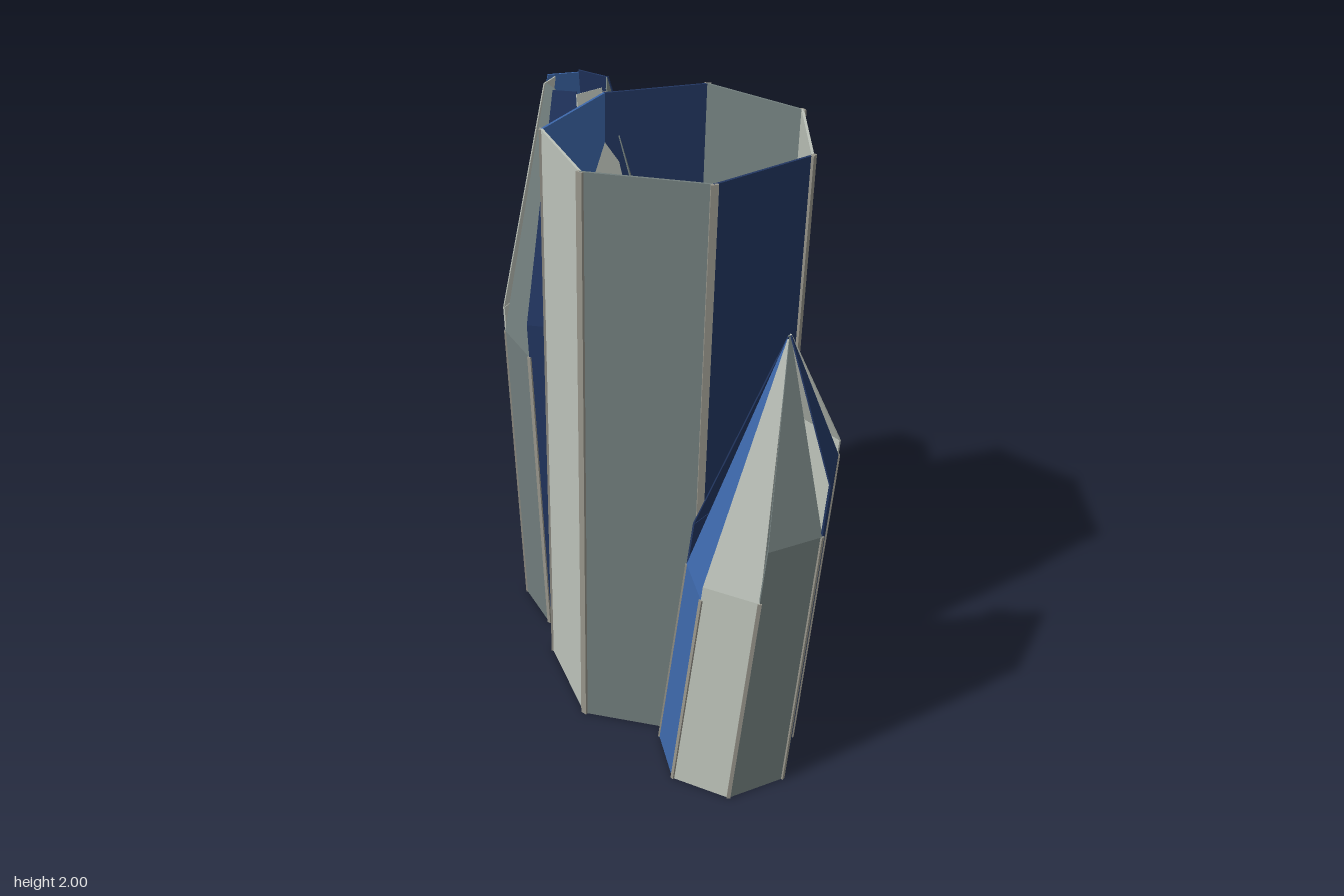
import * as THREE from 'three';

const mat = (name, color) => {
  const m = new THREE.MeshStandardMaterial({ color });
  m.name = name;
  return m;
};
const V = (x, y, z) => new THREE.Vector3(x, y, z);

// Thin slab spanning four corners: bottom left, bottom right, top left, top right
function slab(name, material, bl, br, tl, tr, outer, inner) {
  const n = br.clone().sub(bl).cross(tl.clone().add(tr).sub(bl).sub(br)).normalize();
  const geo = new THREE.BoxGeometry(1, 1, 1);
  const pos = geo.attributes.position;
  for (let i = 0; i < pos.count; i++) {
    const u = pos.getX(i) + 0.5, v = pos.getY(i) + 0.5;
    const p = bl.clone().lerp(br, u).lerp(tl.clone().lerp(tr, u), v);
    p.addScaledVector(n, pos.getZ(i) > 0 ? outer : -inner);
    pos.setXYZ(i, p.x, p.y, p.z);
  }
  geo.computeVertexNormals();
  const mesh = new THREE.Mesh(geo, material);
  mesh.name = name;
  return mesh;
}

// Seven base corners around a centre, running left, front, right, back
const ring = (cx, cz, r, startDeg) => Array.from({ length: 7 }, (_, i) => {
  const a = THREE.MathUtils.degToRad(startDeg - (i * 360) / 7);
  return V(cx + r * Math.cos(a), 0, cz + r * Math.sin(a));
});

// Seven-sided hollow prism of separate panels. Each panel rises to its own fold
// height, then leans in towards the apex, if there is one, and is cut at y = 2.
function crystal({ name, base, lean, taper, folds, apex, thickness, stripWidth }, colours, trim) {
  const g = new THREE.Group();
  g.name = name;
  const centre = base.reduce((s, p) => s.add(p), V(0, 0, 0)).divideScalar(7);
  const radial = base.map((p) => p.clone().sub(centre).normalize());
  const corner = (i, y) => base[i].clone().addScaledVector(lean, y)
    .addScaledVector(radial[i], -taper * y).setY(y);

  for (let i = 0; i < 7; i++) {
    const j = (i + 1) % 7;
    const h = folds[i];
    const tl = corner(i, h), tr = corner(j, h);
    g.add(slab('sidePanel', colours[i], base[i], base[j], tl, tr, 0, thickness));
    if (apex) {
      const t = Math.min(0.97, (2 - h) / (apex.y - h));
      g.add(slab('tipPanel', colours[i], tl, tr,
        tl.clone().lerp(apex, t), tr.clone().lerp(apex, t), 0, 0.004));
    }
    // narrow strip covering the corner, up to the lower of its two panels
    const top = corner(i, Math.min(h, folds[(i + 6) % 7]));
    const side = V(radial[i].z, 0, -radial[i].x).multiplyScalar(stripWidth / 2);
    g.add(slab('edgeStrip', trim, base[i].clone().sub(side), base[i].clone().add(side),
      top.clone().sub(side), top.clone().add(side), 0.003, 0.008));
  }
  return g;
}

export function createModel() {
  const model = new THREE.Group();
  model.name = 'crystalCluster';

  const blue = mat('blue', 0x3d68ab);
  const light = mat('lightGrey', 0xbcc2b9);
  const mid = mat('midGrey', 0x717d7c);
  const navy = mat('navy', 0x223661);
  const trim = mat('edgeGrey', 0x96948a);
  const colours = [blue, light, mid, navy, light, mid, navy];

  const crystals = [
    { // tall open column, leaning slightly
      name: 'mainColumn',
      base: [[-0.394, -0.245], [-0.394, 0.125], [-0.12, 0.362], [0.247, 0.272],
        [0.397, -0.053], [0.22, -0.393], [-0.147, -0.48]].map(([x, z]) => V(x, 0, z)),
      lean: V(0.0275, 0, 0.004), taper: 0,
      folds: Array(7).fill(2), thickness: 0.008, stripWidth: 0.022,
    },
    { // short pointed crystal, front left
      name: 'shortCrystal',
      base: ring(0.387, 0.28, 0.232, 165.3),
      lean: V(0.1, 0, 0), taper: 0.025,
      folds: [0.76, 0.81, 1.0, 1.18, 1.23, 1.1, 0.92],
      apex: V(0.54, 1.62, 0.28), thickness: 0.006, stripWidth: 0.012,
    },
    { // taller crystal, back right, with its tip cut level
      name: 'tallCrystal',
      base: ring(-0.447, -0.245, 0.248, 253.3),
      lean: V(-0.022, 0, 0), taper: 0,
      folds: [1.53, 1.22, 1.13, 1.25, 1.5, 1.65, 1.69],
      apex: V(-0.475, 2.42, -0.28), thickness: 0.006, stripWidth: 0.014,
    },
  ];
  crystals.forEach((c) => model.add(crystal(c, colours, trim)));
  return model;
}
